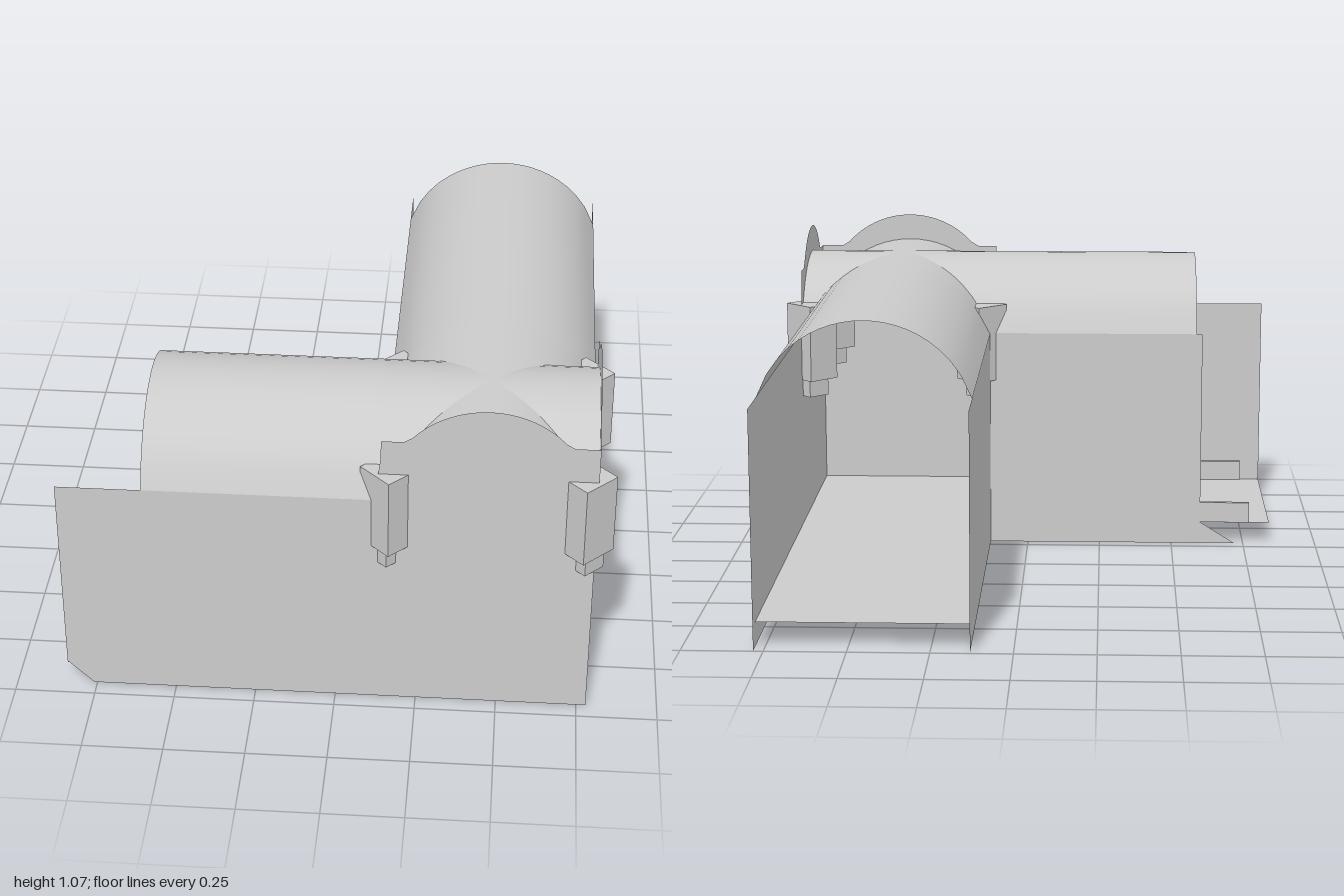
import * as THREE from 'three';

const CX = 0.455, CZ = 0.62, H = 0.325;      // crossing centre and half width
const SPRING = 0.74, RISE = 0.235;           // vault springing height and rise
const FLOOR = 0.075;
const R = (H * H + RISE * RISE) / (2 * RISE);
const vaultY = (s) => SPRING + RISE - R + Math.sqrt(R * R - s * s);

export function createModel() {
  const group = new THREE.Group();
  const mat = new THREE.MeshStandardMaterial({ color: 0xcccccc, side: THREE.DoubleSide });
  const add = (name, geo, parent = group) => {
    const m = new THREE.Mesh(geo, mat);
    m.name = name;
    parent.add(m);
    return m;
  };
  const outline = (pts) =>
    new THREE.ShapeGeometry(new THREE.Shape(pts.map(([a, b]) => new THREE.Vector2(a, b))));

  // Outer wall outline: plain along the arm, arched gable over the crossing
  const outerWall = (start, c) => {
    const pts = [...start, [c + H, 0], [c + H, 0.95], [c + 0.25, 0.95]];
    const w = 0.225, rise = 0.1, r = (w * w + rise * rise) / (2 * rise);
    for (let i = 0; i <= 24; i++) {
      const s = w * (1 - i / 12);
      pts.push([c + s, 1.065 - r + Math.sqrt(r * r - s * s)]);
    }
    pts.push([c - 0.25, 0.95], [c - 0.317, 0.95], [c - 0.317, 0.89], [c - H, 0.83], [c - H, SPRING]);
    return outline(pts);
  };
  add('frontWall', outerWall([[-0.84, SPRING], [-0.84, 0.08], [-0.76, 0]], CX))
    .position.z = CZ + H;
  add('sideWall', outerWall([[-1, SPRING], [-1, 0]], CZ).rotateY(-Math.PI / 2))
    .position.x = CX + H;

  // Inner walls meeting at the inside corner
  add('innerSideWall', outline([[-1, 0], [CZ - H, 0], [CZ - H, SPRING], [-1, SPRING]])
    .rotateY(-Math.PI / 2)).position.x = CX - H;
  add('innerBackWall', outline([[-0.72, 0], [CX - H, 0], [CX - H, SPRING], [-0.6, SPRING], [-0.6, 0.075]]))
    .position.z = CZ - H;

  // L-shaped floor, raised above the wall bottoms
  const x0 = CX - H, x1 = CX + H, z0 = CZ - H, z1 = CZ + H;
  add('floor', outline([[-0.84, z0], [x0, z0], [x0, -0.945], [x1, -0.945], [x1, z1], [-0.84, z1]])
    .rotateX(Math.PI / 2)).position.y = FLOOR;

  // Vault sheet: s runs across the arch, the length runs from near(s) to far
  const vault = (near, far, across, along) => {
    const g = new THREE.PlaneGeometry(1, 1, across, along);
    const p = g.attributes.position;
    for (let i = 0; i < p.count; i++) {
      const s = p.getX(i) * 2 * H, t = p.getY(i) + 0.5;
      p.setXYZ(i, s, vaultY(s), THREE.MathUtils.lerp(near(s), far, t));
    }
    g.computeVertexNormals();
    return g;
  };
  const place = (name, geo, turn) => {
    const m = add(name, geo.rotateY(turn));
    m.position.set(CX, 0, CZ);
  };
  place('longArmVault', vault(() => H, CZ + 0.825, 20, 1), Math.PI);
  place('shortArmVault', vault(() => H, CX + 0.58, 20, 1), -Math.PI / 2);

  // Groin vault over the crossing: four webs meeting on the diagonals
  for (let k = 0; k < 4; k++) {
    place('crossingVaultWeb', vault((s) => Math.abs(s), H, 20, 4), k * Math.PI / 2);
  }

  // Skirting rails inside the short arm
  for (const z of [z0 + 0.008, z1 - 0.008]) {
    add('skirtingRail', new THREE.BoxGeometry(x0 + 0.77, 0.07, 0.015))
      .position.set((x0 - 0.77) / 2, FLOOR + 0.035, z);
  }

  // Diagonal corner brackets, each a block with a smaller foot below
  for (const sx of [-1, 1]) {
    for (const sz of [-1, 1]) {
      const bracket = new THREE.Group();
      bracket.name = 'cornerBracket';
      add('bracketBlock', new THREE.BoxGeometry(0.127, 0.26, 0.115), bracket)
        .position.set(0, 0.705, 0.014 - 0.0575);
      add('bracketFoot', new THREE.BoxGeometry(0.078, 0.06, 0.08), bracket)
        .position.set(0, 0.545, -0.04);
      bracket.position.set(CX + sx * H, 0, CZ + sz * H);
      bracket.rotation.y = Math.atan2(sx, sz);
      group.add(bracket);
    }
  }
  return group;
}
